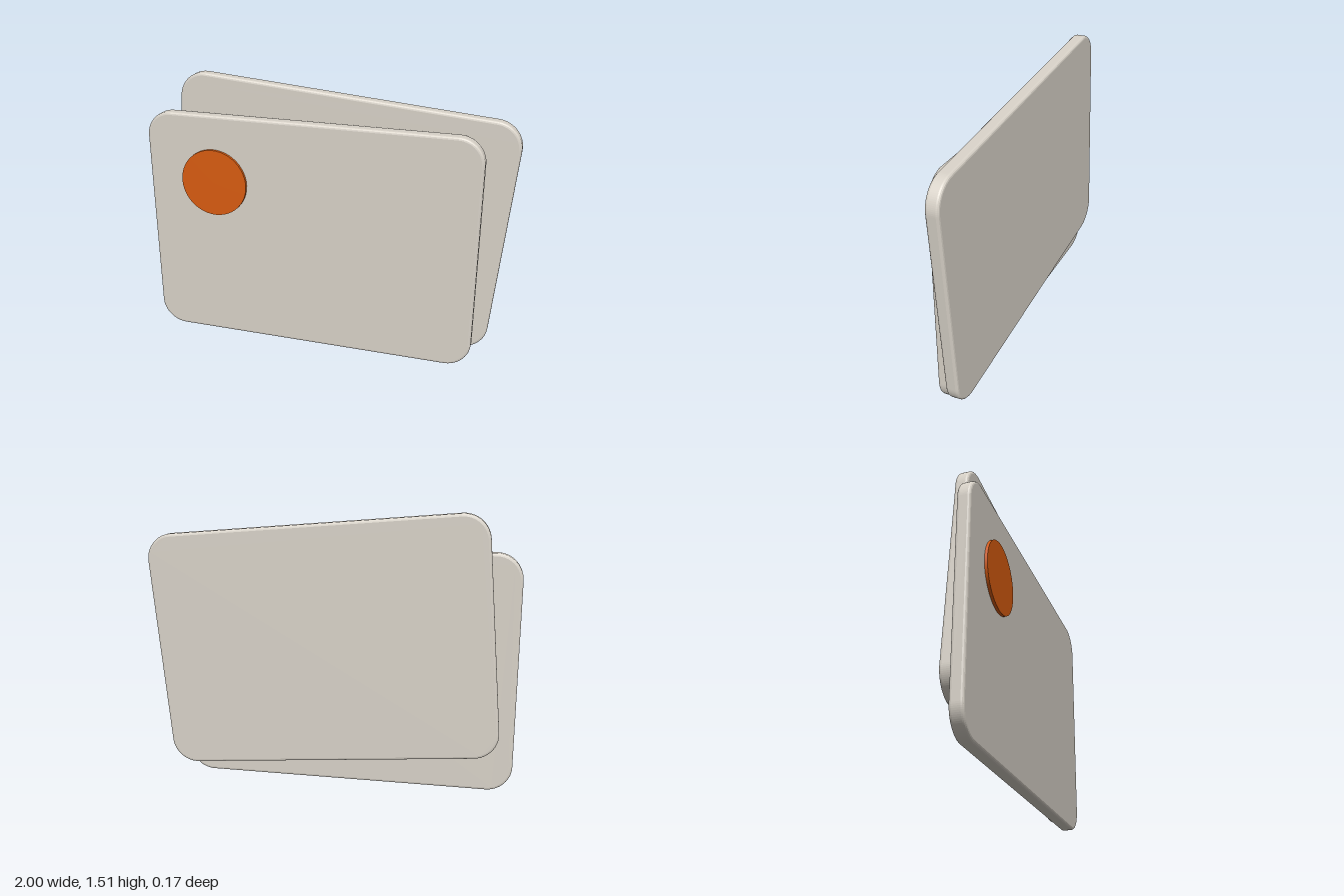
import * as THREE from 'three';

const W = 1.835, H = 1.305, R = 0.14, T = 0.07, B = 0.014;

// Rounded rectangle card with softened edges, centred on the origin
function cardGeometry() {
  const w = W / 2 - B, h = H / 2 - B, r = R - B;
  const s = new THREE.Shape();
  s.absarc(w - r, h - r, r, 0, Math.PI / 2);
  s.absarc(-w + r, h - r, r, Math.PI / 2, Math.PI);
  s.absarc(-w + r, -h + r, r, Math.PI, Math.PI * 1.5);
  s.absarc(w - r, -h + r, r, Math.PI * 1.5, Math.PI * 2);
  const g = new THREE.ExtrudeGeometry(s, {
    depth: T - 2 * B, bevelEnabled: true, bevelSize: B, bevelThickness: B,
    bevelSegments: 3, curveSegments: 12,
  });
  return g.translate(0, 0, -T / 2 + B);
}

export function createModel() {
  const model = new THREE.Group();
  const stone = new THREE.MeshStandardMaterial({ color: 0xd8d2c8 });
  stone.name = 'warm grey';
  const orange = new THREE.MeshStandardMaterial({ color: 0xd85c10 });
  orange.name = 'burnt orange';

  const add = (name, geometry, material, x, y, z) => {
    const mesh = new THREE.Mesh(geometry, material);
    mesh.name = name;
    mesh.position.set(x, y, z);
    model.add(mesh);
    return mesh;
  };

  // Upright front card and tilted back card
  const card = cardGeometry();
  add('frontCard', card, stone, -0.083, H / 2, 0.036);
  add('backCard', card, stone, 0.04, 0.793, -0.051).rotation.z = -THREE.MathUtils.degToRad(5);

  // Round badge, set slightly into the front card
  const disc = new THREE.CylinderGeometry(0.188, 0.188, 0.03, 48).rotateX(Math.PI / 2);
  add('roundBadge', disc, orange, -0.617, 0.93, 0.071);

  return model;
}
